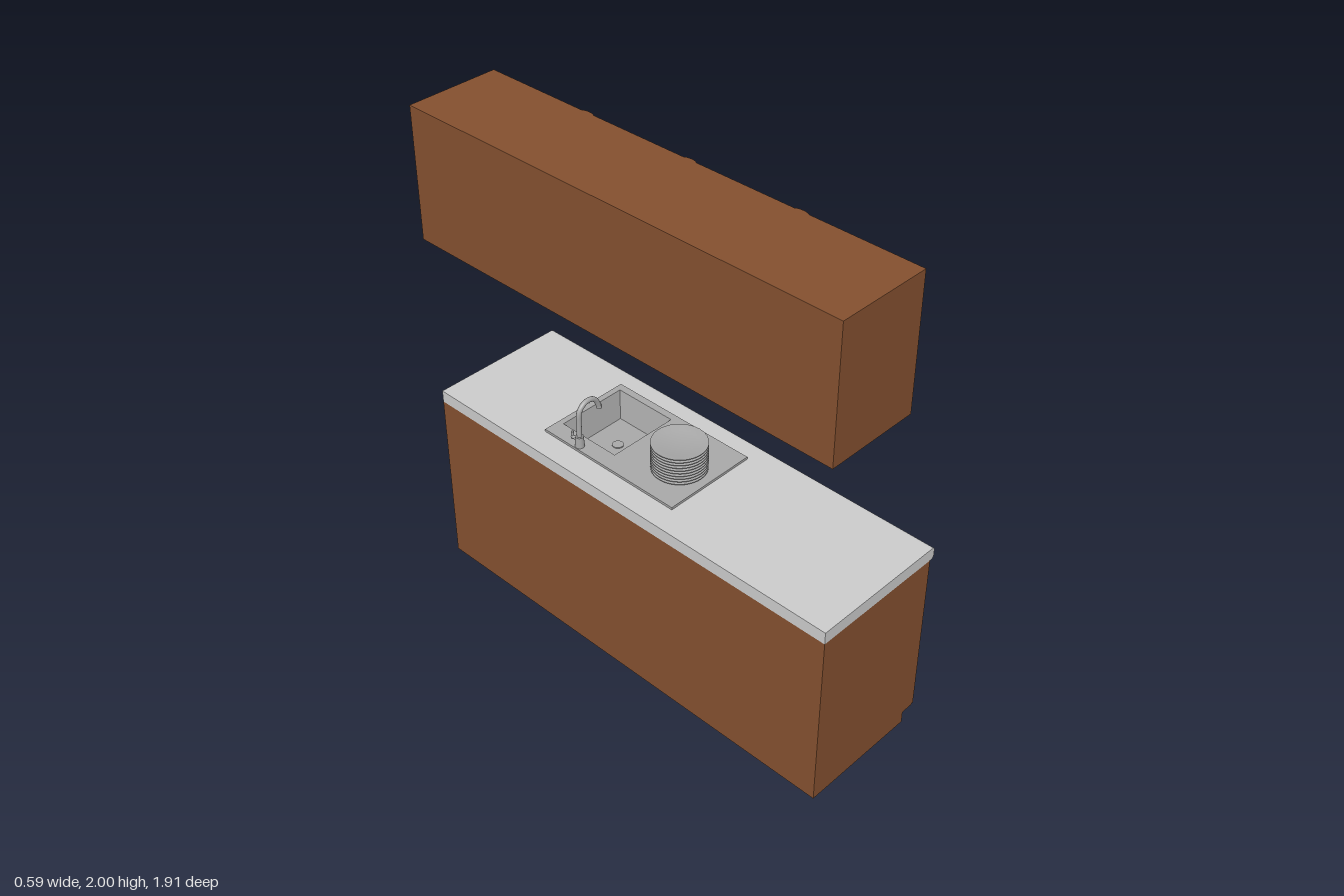
import * as THREE from 'three';
import { RoundedBoxGeometry } from 'three/addons/geometries/RoundedBoxGeometry.js';
import { toCreasedNormals } from 'three/addons/utils/BufferGeometryUtils.js';

const mat = (color, extra = {}) => new THREE.MeshStandardMaterial({ color, ...extra });

export function createModel() {
  const root = new THREE.Group();
  const wood = mat(0x84502f);
  const stone = mat(0xcccccc);
  const steel = mat(0xa8a8a8, { side: THREE.DoubleSide });
  const glass = mat(0xd6cce2);
  const black = mat(0x1c1c1c);

  const add = (name, geo, material, parent = root) => {
    const m = new THREE.Mesh(geo, material);
    m.name = name;
    parent.add(m);
    return m;
  };
  // box from its limits on each axis
  const box = (name, material, x0, x1, y0, y1, z0, z1, parent) => {
    const g = new THREE.BoxGeometry(x1 - x0, y1 - y0, z1 - z0);
    g.translate((x0 + x1) / 2, (y0 + y1) / 2, (z0 + z1) / 2);
    return add(name, g, material, parent);
  };
  const group = (name) => {
    const g = new THREE.Group();
    g.name = name;
    root.add(g);
    return g;
  };
  // rectangular panel with rectangular holes, each [u0, u1, v0, v1]
  const rect = (Type, [a, b, c, d]) => {
    const s = new Type();
    s.moveTo(a, c).lineTo(b, c).lineTo(b, d).lineTo(a, d).closePath();
    return s;
  };
  const panel = (outer, holes, depth) => {
    const s = rect(THREE.Shape, outer);
    holes.forEach((h) => s.holes.push(rect(THREE.Path, h)));
    return new THREE.ExtrudeGeometry(s, { depth, bevelEnabled: false });
  };

  // ---- base cabinet: side profile with toe kick, run along z
  const base = group('baseCabinet');
  const side = new THREE.Shape([[-0.29, 0], [0.21, 0], [0.21, 0.05], [0.262, 0.05],
    [0.262, 0.66], [-0.29, 0.66]].map((p) => new THREE.Vector2(...p)));
  const carcass = new THREE.ExtrudeGeometry(side, { depth: 1.9, bevelEnabled: false });
  carcass.translate(0, 0, -0.94);
  add('carcass', carcass, wood, base);
  box('carcassBack', wood, -0.29, -0.14, 0.66, 0.75, -0.94, 0.96, base);
  box('carcassFront', wood, 0.19, 0.262, 0.66, 0.75, -0.94, 0.96, base);
  box('carcassSide', wood, -0.14, 0.19, 0.66, 0.75, -0.15, 0.96, base);
  box('carcassEnd', wood, -0.14, 0.19, 0.66, 0.75, -0.94, -0.47, base);
  for (let i = 0; i < 4; i++) {
    const door = new RoundedBoxGeometry(0.026, 0.7, 0.475, 2, 0.006);
    door.translate(0.262, 0.4, -0.94 + 0.475 * (i + 0.5));
    add('baseDoor', door, wood, base);
  }

  // bow handles with flared ends
  for (const z of [0.07, -0.05]) {
    const pts = [[0.272, 0.705], [0.287, 0.68], [0.292, 0.645], [0.287, 0.61], [0.272, 0.585]]
      .map(([x, y]) => new THREE.Vector3(x, y, z));
    add('doorHandle', new THREE.TubeGeometry(new THREE.CatmullRomCurve3(pts), 20, 0.006, 8), steel, base);
    for (const y of [0.7, 0.59]) {
      const foot = new THREE.SphereGeometry(1, 12, 8);
      foot.scale(0.008, 0.014, 0.012);
      foot.translate(0.275, y, z);
      add('handleFoot', foot, steel, base);
    }
  }

  // ---- worktop with basin cut-out and rounded front edge
  const top = group('worktop');
  const slab = panel([-0.29, 0.265, -0.96, 0.94], [[-0.12, 0.175, 0.175, 0.445]], 0.05);
  slab.rotateX(-Math.PI / 2).translate(0, 0.75, 0);
  add('worktopSlab', slab, stone, top);
  const nose = new THREE.Shape();
  nose.moveTo(0.265, 0.75).lineTo(0.275, 0.75).quadraticCurveTo(0.29, 0.75, 0.29, 0.765);
  nose.lineTo(0.29, 0.785).quadraticCurveTo(0.29, 0.8, 0.275, 0.8).lineTo(0.265, 0.8);
  const noseGeo = new THREE.ExtrudeGeometry(nose, { depth: 1.9, bevelEnabled: false, curveSegments: 6 });
  noseGeo.translate(0, 0, -0.94);
  add('worktopEdge', toCreasedNormals(noseGeo, 0.6), stone, top);

  // ---- sink: rim plate, sloping basin and drain
  const sink = group('sink');
  const rim = panel([-0.19, 0.205, -0.18, 0.47], [[-0.12, 0.175, 0.175, 0.445]], 0.01);
  rim.rotateX(-Math.PI / 2).translate(0, 0.8, 0);
  add('sinkRim', rim, steel, sink);
  const wall = new THREE.CylinderGeometry(Math.SQRT1_2 * 2, Math.SQRT1_2 * 2, 1, 4, 1, true, Math.PI / 4);
  const p = wall.attributes.position;
  for (let i = 0; i < p.count; i++) {
    const inset = p.getY(i) > 0 ? 0 : 0.025;
    p.setXYZ(i, 0.0275 + Math.sign(p.getX(i)) * (0.1475 - inset), p.getY(i) > 0 ? 0.81 : 0.7,
      -0.31 + Math.sign(p.getZ(i)) * (0.135 - inset));
  }
  add('basinWalls', toCreasedNormals(wall, 0.5), steel, sink);
  box('basinFloor', steel, -0.095, 0.15, 0.694, 0.7, -0.42, -0.2, sink);
  const drain = new THREE.CylinderGeometry(0.022, 0.022, 0.004, 20);
  drain.translate(0.0275, 0.702, -0.31);
  add('drain', drain, steel, sink);

  // ---- tap
  const tap = group('tap');
  tap.position.set(-0.17, 0.81, -0.305);
  const foot = new THREE.CylinderGeometry(0.016, 0.018, 0.045, 20);
  foot.translate(0, 0.0225, 0);
  add('tapBase', foot, steel, tap);
  const path = [[0, 0.03], [0, 0.12]];
  for (let i = 0; i <= 8; i++) {
    const a = Math.PI * (1 - i / 9);
    path.push([0.048 + 0.048 * Math.cos(a), 0.133 + 0.048 * Math.sin(a)]);
  }
  path.push([0.102, 0.125]);
  const spout = new THREE.CatmullRomCurve3(path.map(([x, y]) => new THREE.Vector3(x, y, 0)));
  add('tapSpout', new THREE.TubeGeometry(spout, 48, 0.01, 12), steel, tap);
  const tip = new THREE.CylinderGeometry(0.011, 0.011, 0.012, 16);
  tip.translate(0.102, 0.126, 0);
  add('tapNozzle', tip, steel, tap);
  const stem = new THREE.CylinderGeometry(0.007, 0.007, 0.03, 12);
  stem.rotateX(Math.PI / 2).translate(0, 0.025, -0.025);
  add('tapLeverStem', stem, steel, tap);
  const lever = new THREE.CylinderGeometry(0.005, 0.006, 0.032, 12);
  lever.translate(0, 0.032, -0.037);
  add('tapLever', lever, steel, tap);

  // ---- stack of plates
  const profile = [[0, 0], [0.08, 0]];
  for (let i = 0; i < 10; i++) {
    const y = i * 0.0122;
    profile.push([0.092, y + 0.002], [0.105, y + 0.009], [0.105, y + 0.0115]);
  }
  profile.push([0.098, 0.121], [0.075, 0.114], [0, 0.114]);
  const stack = new THREE.LatheGeometry(profile.map((q) => new THREE.Vector2(...q)), 40);
  stack.translate(-0.015, 0.812, 0.05);
  add('plateStack', toCreasedNormals(stack, 0.5), steel);

  // ---- wall cabinet with four glazed doors
  const wallUnit = group('wallCabinet');
  box('wallCarcass', wood, -0.295, 0.07, 1.47, 2, -0.955, 0.945, wallUnit);
  const panes = [[-0.91, -0.54], [-0.405, -0.065], [0.07, 0.415], [0.545, 0.92]];
  const frame = panel([-0.945, 0.955, 1.47, 2], panes.map(([a, b]) => [a, b, 1.48, 1.993]), 0.015);
  frame.rotateY(Math.PI / 2).translate(0.07, 0, 0);
  add('doorFrame', frame, wood, wallUnit);
  for (const [a, b] of panes) {
    box('glassPane', glass, 0.068, 0.078, 1.479, 1.994, -b - 0.001, -a + 0.001, wallUnit);
  }
  // half-round posts between the doors
  for (const z of [0.47, -0.003, -0.477]) {
    const post = new THREE.CylinderGeometry(1, 1, 0.53, 20, 1, false, 0, Math.PI);
    post.scale(0.009, 1, 0.028).translate(0.084, 1.735, z);
    add('doorPost', post, wood, wallUnit);
  }
  // round knobs
  for (const z of [0.525, 0.42, -0.425, -0.53]) {
    const knob = new THREE.SphereGeometry(0.013, 16, 12);
    knob.translate(0.088, 1.502, z);
    add('doorKnob', knob, black, wallUnit);
  }
  return root;
}
